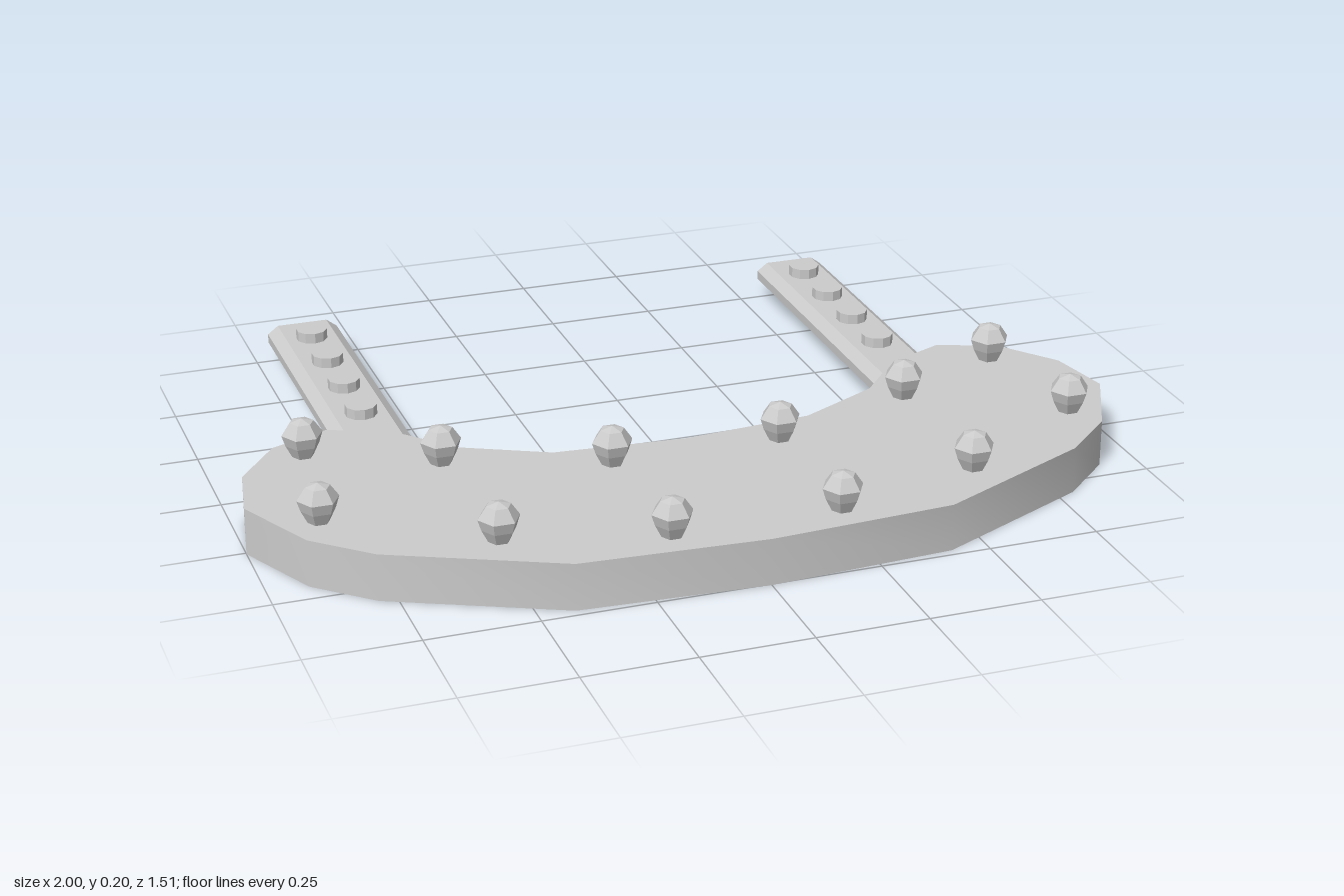
import * as THREE from 'three';
import { toCreasedNormals } from 'three/addons/utils/BufferGeometryUtils.js';

const smooth = new THREE.MeshStandardMaterial({ color: 0xcccccc });
const faceted = new THREE.MeshStandardMaterial({ color: 0xcccccc, flatShading: true });
const open = new THREE.MeshStandardMaterial({ color: 0xcccccc, flatShading: true, side: THREE.DoubleSide });

function addMesh(parent, name, geometry, material, x = 0, y = 0, z = 0) {
  const mesh = new THREE.Mesh(geometry, material);
  mesh.name = name;
  mesh.position.set(x, y, z);
  parent.add(mesh);
  return mesh;
}

// Crescent slab: half outline as [x, z], mirrored across x = 0
function crescentGeometry() {
  const half = [
    [0, 0.755], [0.42, 0.73], [0.79, 0.555], [0.91, 0.445], [1, 0.255], [0.97, 0.1],
    [0.875, -0.025], [0.74, -0.08], [0.6, -0.02], [0.49, 0.105], [0.3, 0.2], [0, 0.225],
  ];
  const mirrored = half.slice(1, -1).reverse().map(([x, z]) => [-x, z]);
  const points = [...half, ...mirrored].map(([x, z]) => new THREE.Vector2(x, -z));
  const geometry = new THREE.ExtrudeGeometry(new THREE.Shape(points), { depth: 0.107, bevelEnabled: false });
  geometry.rotateX(-Math.PI / 2);
  return toCreasedNormals(geometry, 0.45);
}

// Open-ended tube along z with a flattened, chamfered eight-sided section
function railGeometry(length) {
  const section = [
    [-0.06, 0.022], [0.06, 0.022], [0.085, 0.045], [0.085, 0.066],
    [0.06, 0.085], [-0.06, 0.085], [-0.085, 0.066], [-0.085, 0.045],
  ];
  const geometry = new THREE.CylinderGeometry(1, 1, length, 8, 1, true);
  const pos = geometry.attributes.position;
  for (let i = 0; i < pos.count; i++) {
    const [x, y] = section[(i % 9) % 8];
    pos.setXYZ(i, x, y, pos.getY(i));
  }
  geometry.computeVertexNormals();
  return geometry;
}

export function createModel() {
  const model = new THREE.Group();
  model.name = 'crescentFrame';
  addMesh(model, 'crescentBody', crescentGeometry(), smooth);

  // Six-sided knobs around the rim
  const knobProfile = [[0.022, 0.103], [0.038, 0.135], [0.046, 0.16], [0.027, 0.188], [0, 0.196]]
    .map(([r, y]) => new THREE.Vector2(r, y));
  const knob = new THREE.LatheGeometry(knobProfile, 6, Math.PI / 6);
  const knobSpots = [[0.82, 0.035], [0.545, 0.17], [0.195, 0.295], [0.865, 0.365], [0.535, 0.575], [0.19, 0.67]];

  // Rear rails with a row of round studs
  const railBack = -0.76, railFront = 0.04;
  const rail = railGeometry(railFront - railBack);
  const stud = new THREE.CylinderGeometry(0.037, 0.037, 0.03, 10);

  for (const side of [1, -1]) {
    const name = side > 0 ? 'left' : 'right';
    for (const [x, z] of knobSpots) addMesh(model, name + 'Knob', knob, faceted, side * x, 0, z);

    const arm = new THREE.Group();
    arm.name = name + 'Arm';
    arm.position.x = side * 0.633;
    addMesh(arm, 'rail', rail, open, 0, 0, (railBack + railFront) / 2);
    for (let i = 0; i < 4; i++) addMesh(arm, 'stud', stud, faceted, 0, 0.094, -0.66 + i * 0.157);
    model.add(arm);
  }
  return model;
}
